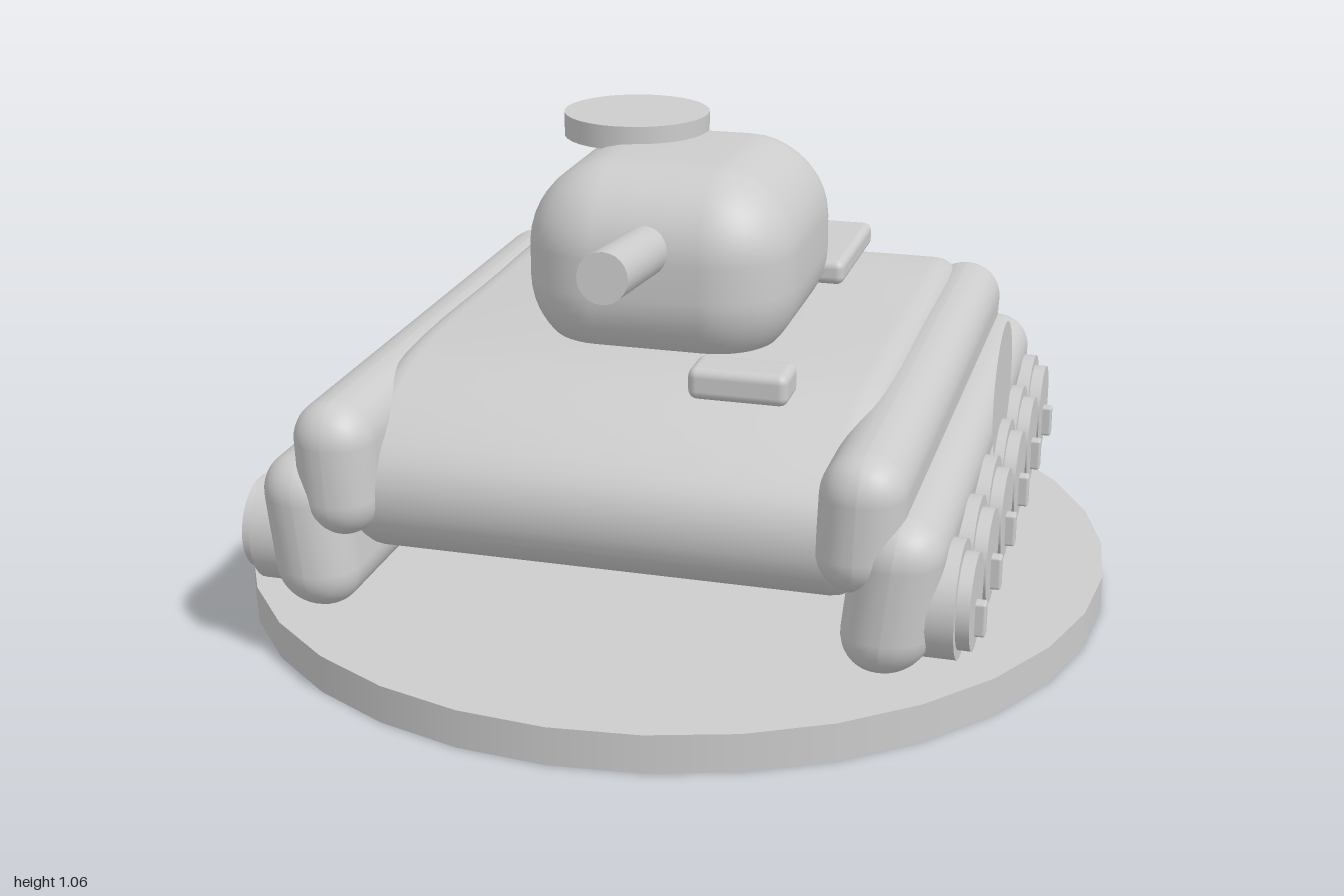
import * as THREE from 'three';
import { mergeVertices, toCreasedNormals } from 'three/addons/utils/BufferGeometryUtils.js';
import { RoundedBoxGeometry } from 'three/addons/geometries/RoundedBoxGeometry.js';

export function createModel() {
  const model = new THREE.Group();
  const grey = new THREE.MeshStandardMaterial({ color: 0xcccccc });
  const greySheet = new THREE.MeshStandardMaterial({ color: 0xcccccc, side: THREE.DoubleSide });
  greySheet.name = 'plain grey sheet';
  grey.name = 'plain grey';

  function add(name, geometry, x = 0, y = 0, z = 0, parent = model, material = grey) {
    const mesh = new THREE.Mesh(geometry, material);
    mesh.name = name;
    mesh.position.set(x, y, z);
    parent.add(mesh);
    return mesh;
  }

  // Rounded box whose vertices are moved by a rule, then smoothed again
  function softBox(w, h, d, segments, radius, rule) {
    let geo = new RoundedBoxGeometry(w, h, d, segments, radius);
    geo.deleteAttribute('normal');
    geo.deleteAttribute('uv');
    geo = mergeVertices(geo, 1e-4);
    const p = geo.attributes.position;
    const v = new THREE.Vector3();
    for (let i = 0; i < p.count; i++) {
      v.fromBufferAttribute(p, i);
      rule(v);
      p.setXYZ(i, v.x, v.y, v.z);
    }
    geo.computeVertexNormals();
    return geo;
  }

  // Round display base
  add('base', new THREE.CylinderGeometry(1, 1, 0.085, 32), 0, 0.0425, 0);

  // Hull: side profile (z, y) with sloped bow, extruded across the width
  const profile = [
    [-0.6, 0.624], [-0.2, 0.625], [0.25, 0.625], [0.42, 0.605], [0.58, 0.54], [0.665, 0.47],
    [0.69, 0.4], [0.675, 0.32], [0.61, 0.255], [0.5, 0.24], [0, 0.24], [-0.5, 0.24],
    [-0.63, 0.265], [-0.72, 0.34], [-0.76, 0.46], [-0.745, 0.55], [-0.69, 0.605],
  ].map(([z, y]) => new THREE.Vector3(z, y, 0));
  const outline = new THREE.CatmullRomCurve3(profile, true).getPoints(60).slice(0, -1);
  const halfWidth = 0.56, bevel = 0.07;
  const hull = new THREE.ExtrudeGeometry(
    new THREE.Shape(outline.map((p) => new THREE.Vector2(p.x, p.y))),
    { depth: 2 * (halfWidth - bevel), bevelThickness: bevel, bevelSize: bevel,
      bevelOffset: -bevel, bevelSegments: 5 });
  hull.translate(0, 0, -(halfWidth - bevel));
  hull.rotateY(-Math.PI / 2);
  add('hull', toCreasedNormals(hull, 0.7));

  // Turret, narrowing towards the top and the bottom
  const turret = softBox(0.615, 0.45, 0.66, 6, 0.185, (v) => {
    const k = 1 - 0.9 * Math.max(0, v.y) ** 2;
    v.x *= k;
    v.z *= k;
  });
  add('turret', turret, 0, 0.795, -0.035);
  add('turretHatch', new THREE.CylinderGeometry(0.17, 0.17, 0.055, 32), -0.15, 1.0325, -0.183);

  // Gun, raised slightly
  const barrel = add('gunBarrel', new THREE.CylinderGeometry(0.055, 0.055, 0.42, 24), 0, 0.87, 0.377);
  barrel.rotation.x = Math.PI / 2 - 0.096;

  // Deck fittings
  add('bowBox', new RoundedBoxGeometry(0.215, 0.07, 0.11, 3, 0.02), 0.262, 0.647, 0.447);
  add('engineCover', new RoundedBoxGeometry(0.655, 0.06, 0.375, 3, 0.02), -0.003, 0.66, -0.495);

  // Thin round plate on the left side
  const plate = add('sideDisc', new THREE.CircleGeometry(0.16, 32), 0.74, 0.475, -0.112, model, greySheet);
  plate.rotation.y = Math.PI / 2;

  // Fenders, tracks and wheels, mirrored
  const wheelRim = new THREE.CylinderGeometry(0.125, 0.125, 0.1, 32).rotateZ(Math.PI / 2);
  const wheelHub = new THREE.CylinderGeometry(0.102, 0.102, 0.1, 32).rotateZ(Math.PI / 2);
  const wheelNub = new RoundedBoxGeometry(0.06, 0.075, 0.03, 2, 0.006);
  for (const side of [1, -1]) {
    const group = new THREE.Group();
    group.name = side > 0 ? 'leftRunningGear' : 'rightRunningGear';
    model.add(group);

    const fender = softBox(0.18, 0.3, 1.51, 5, 0.088, (v) => { v.x = side * (v.x + 0.04 * v.y); });
    const track = softBox(0.19, 0.345, 1.51, 5, 0.093, (v) => { v.x = side * (v.x + 0.11 * v.y); });
    for (const geo of [fender, track]) {
      if (side < 0) { // mirrored faces need their corner order turned round
        geo.index.array.reverse();
        geo.computeVertexNormals();
      }
    }
    add('fender', fender, side * 0.564, 0.453, 0, group);
    add('track', track, side * 0.63, 0.303, 0, group);

    for (let i = 0; i < 6; i++) {
      const z = 0.59 - i * 0.235;
      add('wheelRim', wheelRim, side * 0.712, 0.272, z, group);
      add('wheelHub', wheelHub, side * 0.74, 0.27, z, group);
      add('wheelNub', wheelNub, side * 0.782, 0.234, z, group);
    }
  }
  return model;
}
